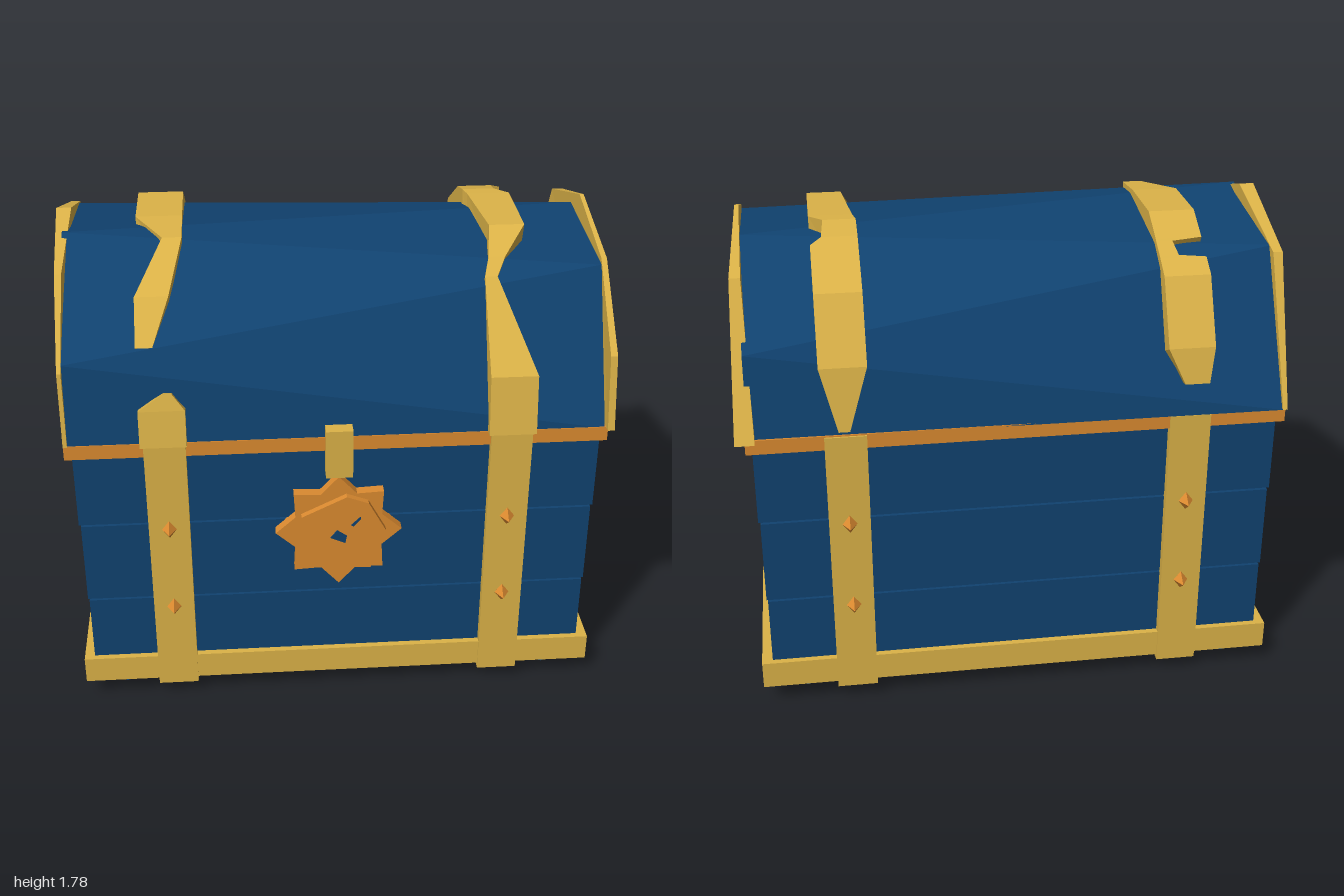
import * as THREE from 'three';

const paint = (name, color) => {
  const m = new THREE.MeshStandardMaterial({ color });
  m.name = name;
  m.flatShading = true;
  return m;
};

// Skins consecutive rings of [x, y, z] points and caps both ends, with flat faces
function loft(rings) {
  const pos = [];
  const tri = (...pts) => pts.forEach((p) => pos.push(...p));
  const n = rings[0].length;
  for (let r = 0; r < rings.length - 1; r++) {
    const a = rings[r], b = rings[r + 1];
    for (let i = 0; i < n; i++) {
      const j = (i + 1) % n;
      tri(a[i], b[i], a[j]);
      tri(a[j], b[i], b[j]);
    }
  }
  const first = rings[0], last = rings[rings.length - 1];
  for (let i = 1; i < n - 1; i++) {
    tri(first[0], first[i], first[i + 1]);
    tri(last[0], last[i + 1], last[i]);
  }
  const g = new THREE.BufferGeometry();
  g.setAttribute('position', new THREE.Float32BufferAttribute(pos, 3));
  g.computeVertexNormals();
  return g;
}

// Box from its limits on each axis
function block(x0, x1, y0, y1, z0, z1) {
  return new THREE.BoxGeometry(x1 - x0, y1 - y0, z1 - z0)
    .translate((x0 + x1) / 2, (y0 + y1) / 2, (z0 + z1) / 2);
}

// Flat plate cut from an outline of [x, y] points, lying on depth z
function plate(points, z, depth) {
  const shape = new THREE.Shape(points.map(([x, y]) => new THREE.Vector2(x, y)));
  return new THREE.ExtrudeGeometry(shape, { depth, bevelEnabled: false }).translate(0, 0, z);
}

// Band over the lid; rows are [z, y, left edge, right edge]
function lidBand(rows) {
  return loft(rows.map(([z, y, xl, xr]) => {
    const zi = z * 0.88, yi = 1.12 + (y - 1.12) * 0.86;
    return [[xr, y, z], [xl, y, z], [xl, yi, zi], [xr, yi, zi]];
  }));
}

export function createModel() {
  const group = new THREE.Group();
  const blue = paint('blue wood', 0x104270);
  const gold = paint('gold trim', 0xdcb348);
  const copper = paint('copper trim', 0xdc8b30);
  const add = (name, geometry, material) => {
    const mesh = new THREE.Mesh(geometry, material);
    mesh.name = name;
    group.add(mesh);
    return mesh;
  };

  // Body: a core with three plank courses, widening slightly upwards
  add('bodyCore', block(-0.93, 0.925, 0.12, 1.1, -0.59, 0.59), blue);
  [[0.12, 0.445, 0.94], [0.453, 0.775, 0.945], [0.783, 1.08, 0.952]].forEach(([y0, y1, w]) =>
    add('plankCourse', block(-w - 0.002, w - 0.008, y0, y1, -0.604, 0.604), blue));

  // Base tray and copper rim
  add('baseTray', block(-0.98, 0.972, 0.08, 0.185, -0.627, 0.627), gold);
  add('rim', block(-0.98, 0.967, 1.07, 1.125, -0.627, 0.622), copper);

  // Faceted feet
  for (const x of [-0.825, 0.805]) {
    for (const z of [-0.475, 0.48]) {
      const profile = [[0, 0], [0.035, 0.008], [0.118, 0.052], [0.1, 0.09], [0, 0.09]]
        .map(([r, y]) => new THREE.Vector2(r, y));
      add('foot', new THREE.LatheGeometry(profile, 8), blue).position.set(x, 0, z);
    }
  }

  // Straps wrapped round the body, with diamond studs
  for (const [x0, x1] of [[-0.7, -0.55], [0.542, 0.692]]) {
    add('strapUnder', block(x0, x1, 0.06, 0.1, -0.634, 0.634), gold);
    for (const s of [-1, 1]) {
      add('strapUpright', block(x0, x1, 0.06, 1.12, s > 0 ? 0.6 : -0.634, s > 0 ? 0.634 : -0.6), gold);
      for (const y of [0.425, 0.77]) {
        const stud = add('stud', new THREE.OctahedronGeometry(1), copper);
        stud.scale.set(0.027, 0.036, 0.045);
        stud.position.set((x0 + x1) / 2, y, s * 0.635);
      }
    }
  }

  // Arched lid with unequal end profiles, [y, z]
  const lidLeft = [[1.12, 0.62], [1.42, 0.575], [1.743, 0.15], [1.66, -0.37], [1.12, -0.635]];
  const lidRight = [[1.12, 0.62], [1.65, 0.37], [1.705, -0.12], [1.42, -0.565], [1.12, -0.62]];
  add('lid', loft([
    lidLeft.map(([y, z]) => [-0.97, y, z]),
    lidRight.map(([y, z]) => [0.955, y, z]),
  ]), blue);

  // Gold end plates, [z, y, outer x, inner x]
  const endPositive = [
    [0.645, 1.122, 0.985, 0.96], [0.605, 1.4, 0.98, 0.955], [0.36, 1.67, 0.975, 0.955],
    [0, 1.78, 0.965, 0.95], [-0.42, 1.65, 0.985, 0.945], [-0.675, 1.13, 1.0, 0.93],
  ];
  const endNegative = [
    [0.625, 1.122, -0.98, -0.965], [0.6, 1.4, -0.98, -0.965], [0.36, 1.67, -0.985, -0.96],
    [0, 1.78, -1.0, -0.945], [-0.42, 1.65, -0.99, -0.955], [-0.645, 1.125, -0.982, -0.965],
  ];
  const inner = (pts) => pts.map(([z, y, , x]) => [x, y, z]);
  const outer = (pts) => pts.map(([z, y, x]) => [x, y, z]);
  add('lidEndPlate', loft([inner(endPositive), outer(endPositive)]), gold);
  add('lidEndPlate', loft([outer(endNegative), inner(endNegative)]), gold);

  // Ragged bands over the lid
  add('lidBand', lidBand([
    [0.655, 1.125, 0.53, 0.7], [0.62, 1.34, 0.53, 0.7], [0.4, 1.63, 0.53, 0.575],
    [0.34, 1.68, 0.55, 0.61], [0.21, 1.75, 0.57, 0.7], [-0.1, 1.757, 0.54, 0.7],
    [-0.15, 1.757, 0.53, 0.65], [-0.26, 1.73, 0.53, 0.66], [-0.29, 1.712, 0.53, 0.7],
    [-0.48, 1.6, 0.53, 0.7], [-0.6, 1.37, 0.53, 0.7], [-0.635, 1.14, 0.6, 0.64],
  ]), gold);
  add('lidBand', lidBand([
    [0.54, 1.46, -0.71, -0.65], [0.42, 1.6, -0.71, -0.59], [0.22, 1.74, -0.61, -0.54],
    [0.05, 1.757, -0.71, -0.54], [-0.21, 1.755, -0.71, -0.54], [-0.33, 1.69, -0.71, -0.54],
    [-0.34, 1.683, -0.6, -0.54], [-0.4, 1.65, -0.61, -0.54], [-0.41, 1.643, -0.71, -0.54],
    [-0.48, 1.6, -0.71, -0.54], [-0.6, 1.37, -0.71, -0.54], [-0.625, 1.24, -0.69, -0.6],
  ]), gold);
  add('lidBandEnd', lidBand([
    [0.655, 1.125, -0.71, -0.545], [0.635, 1.26, -0.71, -0.545], [0.62, 1.32, -0.62, -0.59],
  ]), gold);

  // Hasp
  add('hasp', block(-0.055, 0.042, 0.98, 1.17, 0.6, 0.665), gold);

  // Star lock with a raised centre and keyhole
  const star = [];
  for (let i = 0; i < 16; i++) {
    const a = (i * Math.PI) / 8, r = i % 2 ? 0.172 : 0.232;
    star.push([-0.007 + r * Math.cos(a), 0.74 + r * Math.sin(a)]);
  }
  add('lockStar', plate(star, 0.6, 0.045), copper);
  add('lockCentre', plate([
    [-0.145, 0.82], [-0.12, 0.6], [0.11, 0.59], [0.165, 0.75], [0.1, 0.87], [0.02, 0.9],
  ], 0.64, 0.03), copper);
  add('keyhole', plate([[-0.04, 0.73], [0.015, 0.705], [0.02, 0.735], [-0.015, 0.76]], 0.668, 0.007), blue);
  add('lockSlit', plate([[0.035, 0.78], [0.045, 0.775], [0.072, 0.805], [0.07, 0.815]], 0.668, 0.005), blue);

  return group;
}
